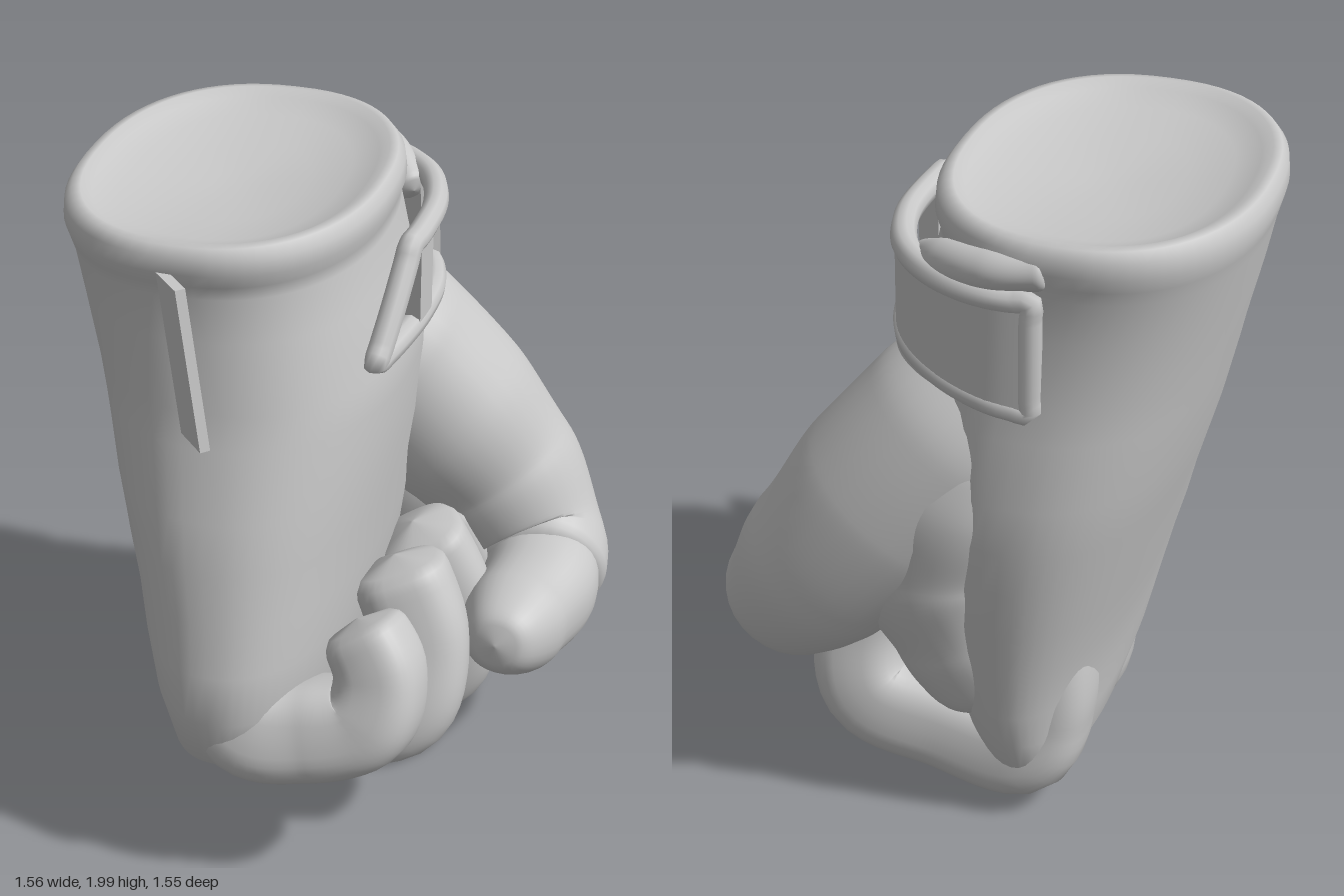
import * as THREE from 'three';

const V = (x, y, z) => new THREE.Vector3(x, y, z);
const SIDES = 32;

// Superellipse: rounder at e = 2, squarer above
function superPoint(a, e) {
  const c = Math.cos(a), s = Math.sin(a);
  return [Math.sign(c) * Math.abs(c) ** (2 / e), Math.sign(s) * Math.abs(s) ** (2 / e)];
}

// Skin a list of rings and close both ends
function loft(rings) {
  const n = rings[0].length, pos = [], idx = [];
  rings.forEach(r => r.forEach(p => pos.push(p.x, p.y, p.z)));
  for (let i = 0; i < rings.length - 1; i++) {
    for (let j = 0; j < n; j++) {
      const k = (j + 1) % n, a = i * n + j, b = i * n + k;
      idx.push(a, b, b + n, a, b + n, a + n);
    }
  }
  [0, rings.length - 1].forEach((ri, end) => {
    const c = rings[ri].reduce((s, p) => s.add(p), V(0, 0, 0)).divideScalar(n);
    const ci = pos.length / 3;
    pos.push(c.x, c.y, c.z);
    for (let j = 0; j < n; j++) {
      const a = ri * n + j, b = ri * n + (j + 1) % n;
      if (end) idx.push(ci, a, b); else idx.push(ci, b, a);
    }
  });
  const g = new THREE.BufferGeometry();
  g.setAttribute('position', new THREE.Float32BufferAttribute(pos, 3));
  g.setIndex(idx);
  g.computeVertexNormals();
  return g;
}

// Horizontal rings given as [y, xMin, xMax, zMin, zMax]
function stack(rows, e) {
  return loft(rows.map(([y, x0, x1, z0, z1]) => Array.from({ length: 64 }, (_, j) => {
    const [c, s] = superPoint(j / 64 * Math.PI * 2, e);
    return V((x0 + x1) / 2 + (x1 - x0) / 2 * s, y, (z0 + z1) / 2 + (z1 - z0) / 2 * c);
  })));
}

// Rounded limb along points [x, y, z, radius]; cap sets how blunt the ends are
function limb(pts, e = 2.5, cap = 0.7) {
  const curve = new THREE.CatmullRomCurve3(pts.map(p => V(p[0], p[1], p[2])));
  const steps = 56, len = curve.getLength(), frames = curve.computeFrenetFrames(steps);
  const rings = [];
  for (let i = 0; i <= steps; i++) {
    const u = i / steps, t = curve.getUtoTmapping(u) * (pts.length - 1);
    const k = Math.min(Math.floor(t), pts.length - 2);
    const r = THREE.MathUtils.lerp(pts[k][3], pts[k + 1][3], THREE.MathUtils.smoothstep(t - k, 0, 1));
    const d = Math.min(1, Math.min(u, 1 - u) * len / (r * cap));
    const f = r * Math.max(0.04, (1 - (1 - d) ** 2.5) ** (1 / 2.5));
    const c = curve.getPointAt(u);
    rings.push(Array.from({ length: SIDES }, (_, j) => {
      const [a, b] = superPoint(j / SIDES * Math.PI * 2, e);
      return c.clone().addScaledVector(frames.normals[i], a * f).addScaledVector(frames.binormals[i], b * f);
    }));
  }
  return loft(rings);
}

export function createModel() {
  const group = new THREE.Group();
  const grey = new THREE.MeshStandardMaterial({ color: 0xc8c8c8 });
  grey.name = 'light grey';
  const add = (name, geo) => {
    const m = new THREE.Mesh(geo, grey);
    m.name = name;
    group.add(m);
    return m;
  };

  // Back of hand, palm, wrist, rolled cuff edge and its dished top
  add('gloveBody', stack([
    [0.06, -0.29, -0.14, -0.42, 0.02],
    [0.1, -0.35, -0.08, -0.55, 0.16],
    [0.18, -0.39, -0.03, -0.61, 0.34],
    [0.3, -0.42, 0.03, -0.64, 0.56],
    [0.42, -0.44, 0.08, -0.66, 0.72],
    [0.6, -0.48, 0.12, -0.68, 0.765],
    [0.75, -0.52, 0.14, -0.7, 0.74],
    [0.9, -0.555, 0.16, -0.71, 0.7],
    [1.05, -0.595, 0.17, -0.72, 0.67],
    [1.2, -0.635, 0.19, -0.71, 0.63],
    [1.4, -0.68, 0.2, -0.68, 0.56],
    [1.5, -0.7, 0.195, -0.66, 0.535],
    [1.7, -0.745, 0.15, -0.64, 0.5],
    [1.83, -0.77, 0.12, -0.645, 0.495],
    [1.87, -0.78, 0.12, -0.65, 0.505],
    [1.91, -0.79, 0.135, -0.66, 0.52],
    [1.955, -0.785, 0.13, -0.655, 0.515],
    [1.982, -0.765, 0.11, -0.635, 0.495],
    [1.985, -0.74, 0.085, -0.61, 0.47],
    [1.965, -0.71, 0.055, -0.58, 0.44],
    [1.94, -0.64, -0.02, -0.5, 0.36],
    [1.92, -0.52, -0.13, -0.33, 0.2],
    [1.91, -0.4, -0.25, -0.17, 0.03],
  ], 2.3));

  // Four curled fingers, from knuckle around to the tip
  const fingers = {
    littleFinger: [[-0.2, 0.85, 0.42, 0.11], [-0.18, 0.62, 0.53, 0.14], [-0.1, 0.5, 0.58, 0.165],
      [0.08, 0.5, 0.57, 0.155], [0.24, 0.56, 0.56, 0.14], [0.265, 0.7, 0.51, 0.13], [0.18, 0.84, 0.46, 0.12]],
    ringFinger: [[-0.26, 0.85, 0.24, 0.13], [-0.26, 0.45, 0.28, 0.16], [-0.2, 0.29, 0.29, 0.165],
      [0.06, 0.36, 0.31, 0.155], [0.28, 0.43, 0.29, 0.155], [0.31, 0.62, 0.22, 0.15], [0.21, 0.87, 0.16, 0.145]],
    middleFinger: [[-0.26, 0.75, 0.0, 0.13], [-0.26, 0.32, 0.0, 0.155], [-0.21, 0.17, -0.02, 0.165],
      [0.05, 0.21, -0.06, 0.155], [0.29, 0.31, -0.12, 0.155], [0.32, 0.52, -0.12, 0.145], [0.2, 0.82, -0.1, 0.14]],
    indexFinger: [[-0.25, 0.75, -0.4, 0.13], [-0.25, 0.33, -0.43, 0.155], [-0.2, 0.19, -0.45, 0.165],
      [0.06, 0.22, -0.46, 0.155], [0.28, 0.29, -0.47, 0.155], [0.32, 0.48, -0.41, 0.15], [0.2, 0.8, -0.33, 0.14]],
  };
  for (const [name, pts] of Object.entries(fingers)) add(name, limb(pts, 2.8, 0.6));

  // Thumb: broad base with a blunt end, then the tip turning forward
  add('thumbBase', limb([
    [-0.16, 1.45, -0.33, 0.25], [0.02, 1.24, -0.42, 0.3], [0.19, 1.03, -0.47, 0.305],
    [0.38, 0.79, -0.51, 0.27], [0.54, 0.58, -0.43, 0.22], [0.58, 0.54, -0.28, 0.2],
  ], 2.1, 0.35));
  add('thumbTip', limb([
    [0.54, 0.58, -0.45, 0.17], [0.58, 0.54, -0.28, 0.185], [0.55, 0.555, -0.05, 0.165], [0.53, 0.6, 0.17, 0.11],
  ], 2.2, 0.9));

  // Muscle filling the space between thumb and palm
  add('thumbWeb', limb([
    [-0.08, 1.4, -0.42, 0.24], [0.02, 1.1, -0.46, 0.28], [0.06, 0.85, -0.47, 0.26], [-0.02, 0.6, -0.46, 0.22], [-0.14, 0.35, -0.45, 0.18],
  ], 2.3));

  // Wrist strap: s runs along the path, n is the distance outward
  const path = new THREE.CatmullRomCurve3([[0.16, 0.27], [0.19, 0.1], [0.21, -0.1], [0.2, -0.3],
    [0.13, -0.48], [0, -0.6], [-0.15, -0.655], [-0.3, -0.65]].map(([x, z]) => V(x, 0, z)));
  const length = path.getLength();
  const onStrap = (s, y, n = 0) => {
    const u = THREE.MathUtils.clamp(s / length, 0, 1), p = path.getPointAt(u), t = path.getTangentAt(u);
    return V(p.x - t.z * n, y, p.z + t.x * n);
  };
  const frame = (name, corners, r) => {
    const pts = [];
    corners.forEach(([s, y], i) => {
      const [s2, y2] = corners[(i + 1) % corners.length];
      const n = Math.max(2, Math.ceil(Math.hypot(s2 - s, y2 - y) / 0.05));
      for (let k = 0; k < n; k++) pts.push(onStrap(s + (s2 - s) * k / n, y + (y2 - y) * k / n));
    });
    add(name, new THREE.TubeGeometry(new THREE.CatmullRomCurve3(pts, true), 160, r, 10, true));
  };
  const panel = (name, s0, s1, y0, y1, slant) => {
    const g = new THREE.BoxGeometry(1, 1, 0.06, 24, 1, 1), p = g.attributes.position;
    for (let i = 0; i < p.count; i++) {
      const h = p.getY(i) + 0.5, f = p.getX(i) + 0.5;
      const s = THREE.MathUtils.lerp(s0 + slant * h, s1, f);
      const q = onStrap(s, THREE.MathUtils.lerp(y0, y1, h), p.getZ(i));
      p.setXYZ(i, q.x, q.y, q.z);
    }
    g.computeVertexNormals();
    add(name, g);
  };
  const end = length - 0.03;
  frame('strapFrame', [[0.04, 1.56], [0.7, 1.555], [0.95, 1.53], [end, 1.49], [end, 1.82], [0.6, 1.825], [0.27, 1.82]], 0.037);
  panel('strapDivider', 0.28, 0.385, 1.54, 1.84, 0);
  panel('strapPanel', 0.71, end, 1.51, 1.835, 0.04);

  // Folded strap end beside the rim
  add('strapFold', limb([[-0.32, 1.9, -0.62, 0.05], [-0.15, 1.88, -0.62, 0.06], [-0.02, 1.85, -0.56, 0.06], [0.1, 1.78, -0.43, 0.05]], 2));

  // Thin tab on the front of the cuff
  const tab = add('cuffTab', new THREE.BoxGeometry(0.12, 0.46, 0.03));
  tab.geometry.rotateY(-Math.PI / 4);
  const tp = tab.geometry.attributes.position;
  for (let i = 0; i < tp.count; i++) {
    const y = tp.getY(i);
    tp.setXYZ(i, tp.getX(i) - 0.15 * y, y, tp.getZ(i) - 0.1 * y);
  }
  tab.geometry.computeVertexNormals();
  tab.position.set(-0.275, 1.68, 0.575);

  return group;
}
